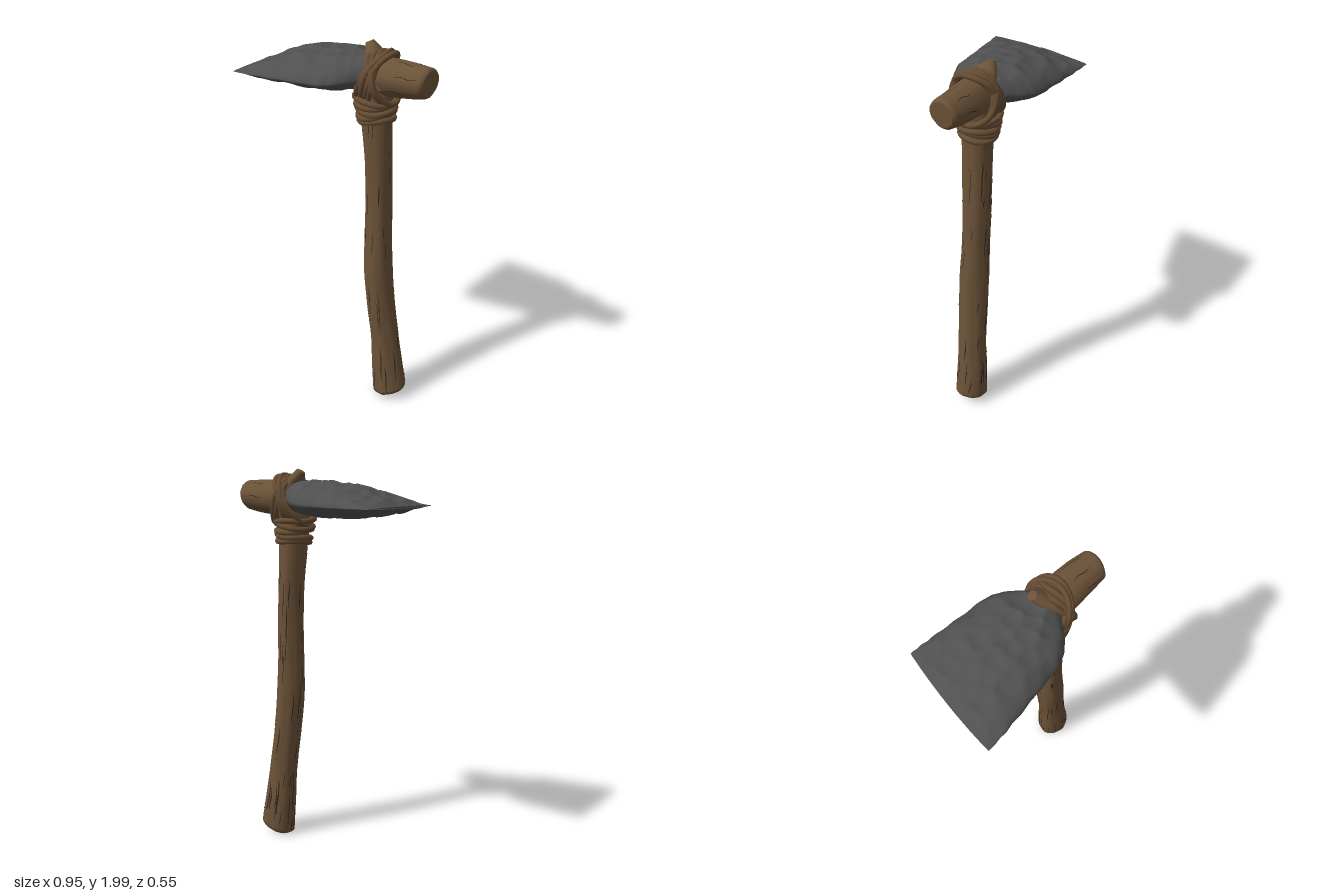
import * as THREE from 'three';
import { mergeGeometries } from 'three/addons/utils/BufferGeometryUtils.js';

const V = (x, y, z) => new THREE.Vector3(x, y, z);
const mat = (name, color, side = THREE.FrontSide) =>
  Object.assign(new THREE.MeshStandardMaterial({ color, side }), { name });

// Small seeded random generator
function seeded(s) {
  return () => (s = (s * 16807) % 2147483647) / 2147483647;
}

// Smooth curves through rows of [x, y, z, r1, r2, r3]
function stations(rows) {
  const c = new THREE.CatmullRomCurve3(rows.map((r) => V(r[0], r[1], r[2])));
  const s = new THREE.CatmullRomCurve3(rows.map((r) => V(r[3], r[4], r[5] || 0)));
  return (t) => [c.getPoint(t), s.getPoint(t)];
}

// Closed skin over fn(u, angle), with flat end caps that keep a crisp rim
function loft(fn, nu, nv) {
  const pos = [], idx = [];
  const ring = (u) => Array.from({ length: nv }, (_, j) => fn(u, (j / nv) * Math.PI * 2));
  for (let i = 0; i <= nu; i++) ring(i / nu).forEach((p) => pos.push(p.x, p.y, p.z));
  for (let i = 0; i < nu; i++) {
    for (let j = 0; j < nv; j++) {
      const a = i * nv + j, b = i * nv + ((j + 1) % nv);
      idx.push(a, a + nv, b, b, a + nv, b + nv);
    }
  }
  for (const u of [0, 1]) {
    const pts = ring(u), start = pos.length / 3, mid = V(0, 0, 0);
    pts.forEach((p) => { pos.push(p.x, p.y, p.z); mid.addScaledVector(p, 1 / nv); });
    pos.push(mid.x, mid.y, mid.z);
    for (let j = 0; j < nv; j++) {
      const a = start + j, b = start + ((j + 1) % nv);
      idx.push(start + nv, u ? b : a, u ? a : b);
    }
  }
  const g = new THREE.BufferGeometry();
  g.setAttribute('position', new THREE.Float32BufferAttribute(pos, 3));
  g.setIndex(idx);
  g.computeVertexNormals();
  return g;
}

// Thin tapering strip that lies on a lofted surface
function crack(fn, u0, u1, angle, width, wobble) {
  const pos = [], idx = [], n = 12;
  for (let i = 0; i <= n; i++) {
    const t = i / n, u = u0 + (u1 - u0) * t;
    const a = angle + wobble * Math.sin(t * 7), w = width * Math.sin(Math.PI * t) + 0.002;
    for (const s of [-1, 1]) {
      const p = fn(u, a + s * w, 0.0015);
      pos.push(p.x, p.y, p.z);
    }
    if (i < n) idx.push(2 * i, 2 * i + 2, 2 * i + 1, 2 * i + 1, 2 * i + 2, 2 * i + 3);
  }
  const g = new THREE.BufferGeometry();
  g.setAttribute('position', new THREE.Float32BufferAttribute(pos, 3));
  g.setIndex(idx);
  g.computeVertexNormals();
  return g;
}

// Rounds off the rim near both ends
const rim = (u, k) => 1 - 0.16 * (Math.max(0, 1 - u / k) ** 3 + Math.max(0, 1 - (1 - u) / k) ** 3);

export function createModel() {
  const group = new THREE.Group();
  const wood = mat('wood', 0x6b5238);
  const bark = mat('dark crack', 0x2b2117, THREE.DoubleSide);
  const stone = mat('stone', 0x505051);
  const cord = mat('cord', 0x664c33);
  const add = (name, geo, m) => {
    const mesh = new THREE.Mesh(geo, m);
    mesh.name = name;
    group.add(mesh);
  };
  const rnd = seeded(4271);

  // Handle: bent branch with a slanted, flared foot
  const handleAt = stations([
    [0.29, 0.033, 0.003, 0.092, 0.085], [0.272, 0.2, 0.004, 0.084, 0.081],
    [0.255, 0.4, 0.01, 0.074, 0.074], [0.23, 0.6, 0.015, 0.073, 0.077],
    [0.21, 0.8, 0.017, 0.074, 0.078], [0.2, 1.0, 0.011, 0.069, 0.072],
    [0.196, 1.2, 0.004, 0.066, 0.071], [0.19, 1.4, 0.004, 0.065, 0.074],
    [0.178, 1.6, 0.005, 0.073, 0.076], [0.172, 1.75, 0.002, 0.082, 0.08],
    [0.178, 1.88, 0, 0.06, 0.07],
  ]);
  const handle = (u, a, off = 0) => {
    const [c, r] = handleAt(u);
    const k = rim(u, 0.015) * (1 + 0.018 * Math.sin(5 * a + 6 * u) + 0.012 * Math.sin(9 * a - 11 * u));
    const x = Math.cos(a) * (r.x * k + off);
    return V(c.x + x, c.y + 0.33 * x * Math.max(0, 1 - u * 4), c.z + Math.sin(a) * (r.y * k + off));
  };
  add('handle', loft(handle, 120, 40), wood);

  // Peg: blunt butt of the branch behind the head
  const pegAt = stations([
    [0.13, 1.853, 0, 0.085, 0.09], [0.25, 1.853, 0.002, 0.088, 0.092],
    [0.36, 1.858, 0.005, 0.083, 0.085], [0.462, 1.866, 0.015, 0.072, 0.073],
  ]);
  const peg = (u, a, off = 0) => {
    const [c, r] = pegAt(u);
    const k = rim(u, 0.06) * (1 + 0.02 * Math.sin(4 * a + 2 * u) + 0.01 * Math.sin(9 * a));
    const y = Math.sin(a) * (r.x * k + off), z = Math.cos(a) * (r.y * k + off);
    return V(c.x + u * (0.06 * y - 0.13 * (z + 0.0)), c.y + y, c.z + z);
  };
  add('peg', loft(peg, 40, 40), wood);

  // Splinter: wedge of the fork rising over the blade
  const splinterAt = stations([
    [0.22, 1.8, 0.01, 0.035, 0.1], [0.175, 1.88, 0.005, 0.034, 0.09],
    [0.14, 1.945, -0.015, 0.032, 0.062], [0.105, 1.99, -0.035, 0.02, 0.018],
  ]);
  add('forkSplinter', loft((u, a) => {
    const [c, r] = splinterAt(u), x = Math.cos(a) * r.x;
    return V(c.x + x, c.y + 0.5 * x, c.z + Math.sin(a) * r.y);
  }, 20, 24), wood);

  // Cracks in the wood
  const cracks = [];
  for (let i = 0; i < 64; i++) {
    const u0 = i < 18 ? 0.005 + rnd() * 0.06 : rnd() * 0.78;
    cracks.push(crack(handle, u0, u0 + 0.03 + rnd() * 0.1, rnd() * 6.283, 0.016 + rnd() * 0.028, 0.03));
  }
  for (let i = 0; i < 7; i++) {
    const u0 = 0.35 + rnd() * 0.2;
    cracks.push(crack(peg, u0, u0 + 0.25 + rnd() * 0.18, i * 0.9 + 0.4, 0.02, 0.05));
  }
  add('woodCracks', mergeGeometries(cracks), bark);

  // Blade: wide knapped stone; r = half width, top height, bottom depth
  const bladeAt = stations([
    [-0.45, 1.82, 0, 0.277, 0.005, 0.005], [-0.4, 1.82, 0, 0.274, 0.028, 0.026],
    [-0.3, 1.821, 0, 0.264, 0.068, 0.044], [-0.15, 1.824, 0, 0.246, 0.103, 0.058],
    [0.0, 1.83, 0, 0.228, 0.113, 0.06], [0.07, 1.84, 0, 0.196, 0.102, 0.06],
    [0.14, 1.85, 0, 0.125, 0.085, 0.06], [0.2, 1.855, 0, 0.05, 0.05, 0.045],
  ]);
  // Jittered dimple centres
  const dents = [];
  for (let x = -0.45; x < 0.2; x += 0.085) {
    for (let z = -0.28; z < 0.3; z += 0.085) {
      dents.push([x + (rnd() - 0.5) * 0.08, z + (rnd() - 0.5) * 0.08]);
    }
  }
  const blade = (u, a) => {
    const [c, r] = bladeAt(u);
    const s = Math.sin(a), q = Math.cos(a), fade = Math.max(0, 1 - u * 1.6);
    const z = q * r.x * (1 + 0.008 * Math.sin(u * 55 + q * 2) * Math.min(1, u * 4));
    const x = c.x - 0.135 * z * fade + 0.012 * q * q * fade;
    const shift = s < 0 ? 0.04 : 0;
    let d2 = 1;
    for (const [dx, dz] of dents) d2 = Math.min(d2, (x - dx - shift) ** 2 + (z - dz - shift) ** 2);
    const bump = (Math.min(d2, 0.003) * 5 - 0.006) * Math.min(1, u * 6) * Math.abs(s);
    const h = Math.abs(s) ** 1.2 * (s > 0 ? r.y : r.z) + bump;
    return V(x, c.y + Math.sign(s) * h, z);
  };
  add('stoneBlade', loft(blade, 90, 128), stone);

  // Cord: tube through a closed loop given by fn(angle)
  const loop = (name, fn, radius = 0.014) => {
    const pts = Array.from({ length: 28 }, (_, i) => fn((i / 28) * Math.PI * 2));
    add(name, new THREE.TubeGeometry(new THREE.CatmullRomCurve3(pts, true), 72, radius, 8, true), cord);
  };

  // Collar wound round the neck of the handle
  for (let i = 0; i < 5; i++) {
    const r = 0.082 + 0.004 * i, tilt = [0.06, 0.16, -0.04, 0.12, -0.1][i];
    loop('collarCord', (a) => V(
      0.174 - 0.002 * i + r * Math.cos(a),
      1.638 + 0.025 * i + tilt * r * Math.cos(a) + 0.006 * Math.sin(a * 2 + i),
      0.003 + (r + 0.004) * Math.sin(a)), 0.0145);
  }

  // Crossed lashings over the head: [top x, bottom x, top y, half width]
  const lashings = [
    [0.2, 0.085, 1.955, 0.112], [0.222, 0.11, 1.968, 0.118], [0.245, 0.135, 1.962, 0.113],
    [0.232, 0.165, 1.955, 0.108], [0.15, 0.25, 1.95, 0.112], [0.172, 0.265, 1.957, 0.117],
    [0.195, 0.235, 1.962, 0.106],
  ];
  lashings.forEach(([top, bottom, high, w], i) => {
    const low = 1.715 + 0.006 * (i % 3);
    loop('headLashing', (a) => V(
      (top + bottom) / 2 + ((top - bottom) / 2) * Math.cos(a) + 0.006 * Math.sin(a * 3 + i),
      (high + low) / 2 + ((high - low) / 2) * Math.cos(a),
      w * Math.sin(a) * (1 + 0.08 * Math.cos(a))));
  });

  return group;
}
